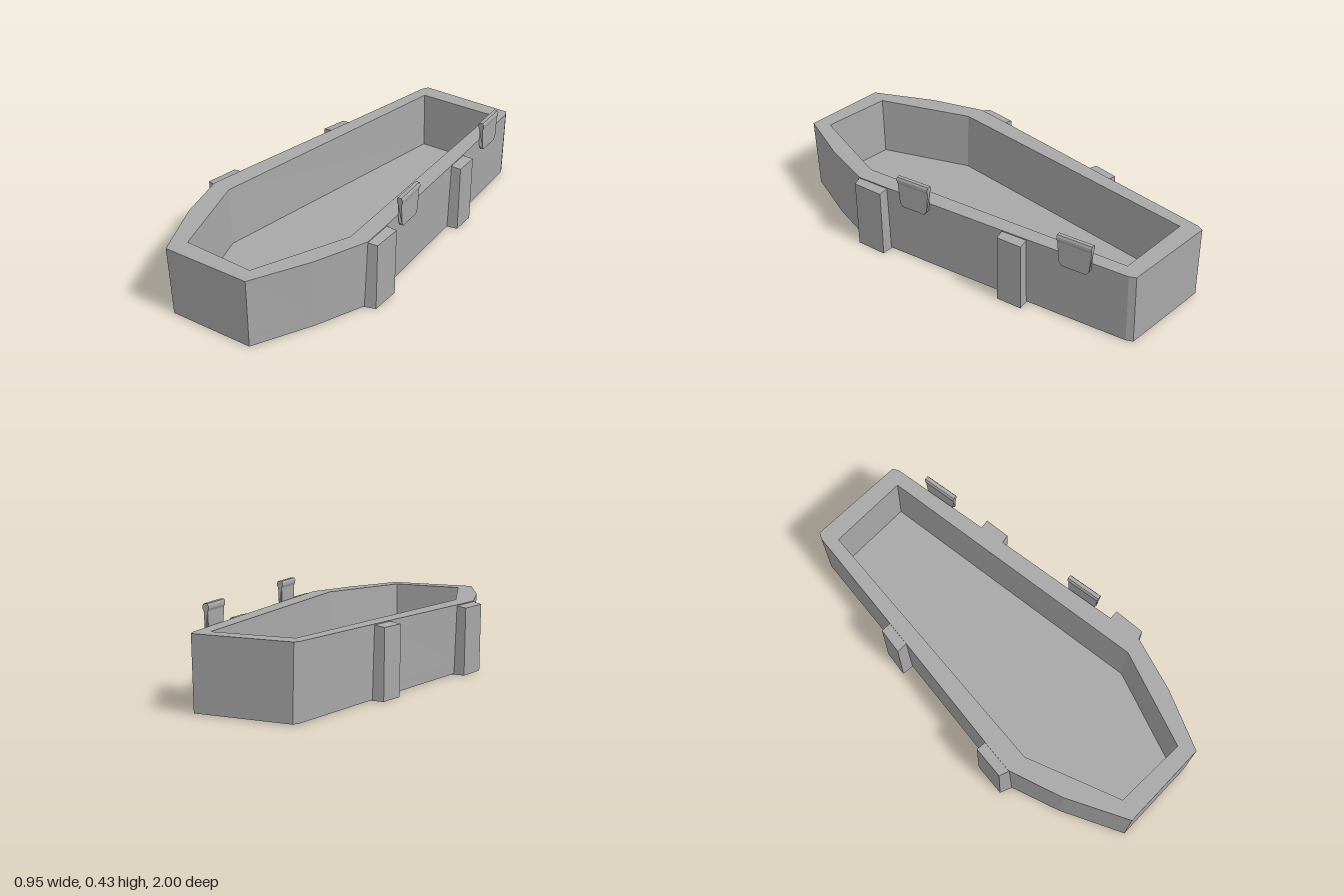
import * as THREE from 'three';

const TOP = 0.337, FLOOR = 0.055;

// Plan outlines as [x, z]
const outer = [
  [-0.24, -1], [0.24, -1], [0.255, -0.97], [0.325, -0.45], [0.42, 0.3], [0.435, 0.44],
  [0.352, 0.7], [0.224, 0.987], [-0.21, 0.998], [-0.35, 0.71], [-0.432, 0.455],
  [-0.415, 0.3], [-0.325, -0.4], [-0.255, -0.97],
];
// Wound the other way, so the inside walls face into the box
const inner = [[-0.337, 0.46], [-0.172, 0.905], [0.182, 0.912], [0.35, 0.45], [0.195, -0.92], [-0.2, -0.91]];

// Side straps: the middle two points are the outer edge
const straps = {
  leftFrontStrap: [[0.39, 0.28], [0.466, 0.272], [0.476, 0.425], [0.42, 0.445]],
  leftBackStrap: [[0.3, -0.47], [0.37, -0.485], [0.382, -0.36], [0.32, -0.345]],
  rightFrontStrap: [[-0.39, 0.29], [-0.46, 0.282], [-0.477, 0.44], [-0.42, 0.462]],
  rightBackStrap: [[-0.3, -0.43], [-0.37, -0.432], [-0.389, -0.306], [-0.32, -0.302]],
};

const toPoints = (list) => list.map(([x, z]) => new THREE.Vector2(x, -z));

// Apply a rule to every vertex, then refresh the flat normals
function reshape(geometry, rule) {
  const p = geometry.attributes.position;
  const v = new THREE.Vector3();
  for (let i = 0; i < p.count; i++) {
    rule(v.fromBufferAttribute(p, i));
    p.setXYZ(i, v.x, v.y, v.z);
  }
  geometry.computeVertexNormals();
  return geometry;
}

// Walls lean in slightly toward the base
function lean(v) {
  const t = 1 - v.y / TOP;
  v.x *= 1 - 0.03 * t;
  if (v.z > 0.5) v.z -= 0.014 * t;
}

// Upright prism from a plan outline, between two heights
function prism(outline, y0, y1, hole) {
  const shape = new THREE.Shape(toPoints(outline));
  if (hole) shape.holes.push(new THREE.Path(toPoints(hole)));
  const g = new THREE.ExtrudeGeometry(shape, { depth: y1 - y0, bevelEnabled: false });
  return g.rotateX(-Math.PI / 2).translate(0, y0, 0);
}

// Upright hinge leaf with a thickened top bead, narrower toward the bottom
function hingeGeometry() {
  const profile = [
    [-0.009, 0.285], [0.009, 0.285], [0.009, 0.305], [0.009, 0.4], [0.014, 0.412], [0.014, 0.424], [0.009, 0.434],
    [-0.009, 0.434], [-0.014, 0.424], [-0.014, 0.412], [-0.009, 0.4], [-0.009, 0.305],
  ].map(([x, y]) => new THREE.Vector2(x, y));
  const g = new THREE.ExtrudeGeometry(new THREE.Shape(profile), { depth: 0.172, bevelEnabled: false });
  g.translate(0, 0, -0.086);
  return reshape(g, (v) => {
    v.z *= v.y < 0.29 ? 0.7 : 0.87 + (v.y - 0.305);
  });
}

export function createModel() {
  const model = new THREE.Group();
  model.name = 'openCoffin';
  const grey = new THREE.MeshStandardMaterial({ color: 0xa8a8a8 });
  grey.name = 'grey';

  const add = (name, geometry) => {
    const mesh = new THREE.Mesh(geometry, grey);
    mesh.name = name;
    model.add(mesh);
    return mesh;
  };

  // Box: hollow walls on a solid floor
  add('walls', reshape(prism(outer, FLOOR, TOP, inner), lean));
  add('floor', reshape(prism(outer, 0.004, FLOOR), lean));

  // Straps down the sides, tops sloping outward
  for (const [name, outline] of Object.entries(straps)) {
    const edge = Math.min(Math.abs(outline[1][0]), Math.abs(outline[2][0])) - 0.005;
    add(name, reshape(prism(outline, 0, TOP - 0.002), (v) => {
      if (v.y > 0.3 && Math.abs(v.x) > edge) v.y -= 0.01;
      v.x *= 1 - 0.01 * (1 - v.y / TOP);
    }));
  }

  // Two hinge leaves follow the slope of the left side
  const hinge = hingeGeometry();
  for (const [name, x, z] of [['frontHinge', 0.411, 0.108], ['backHinge', 0.301, -0.725]]) {
    const mesh = add(name, hinge);
    mesh.position.set(x, 0, z);
    mesh.rotation.y = 0.13;
  }
  return model;
}
